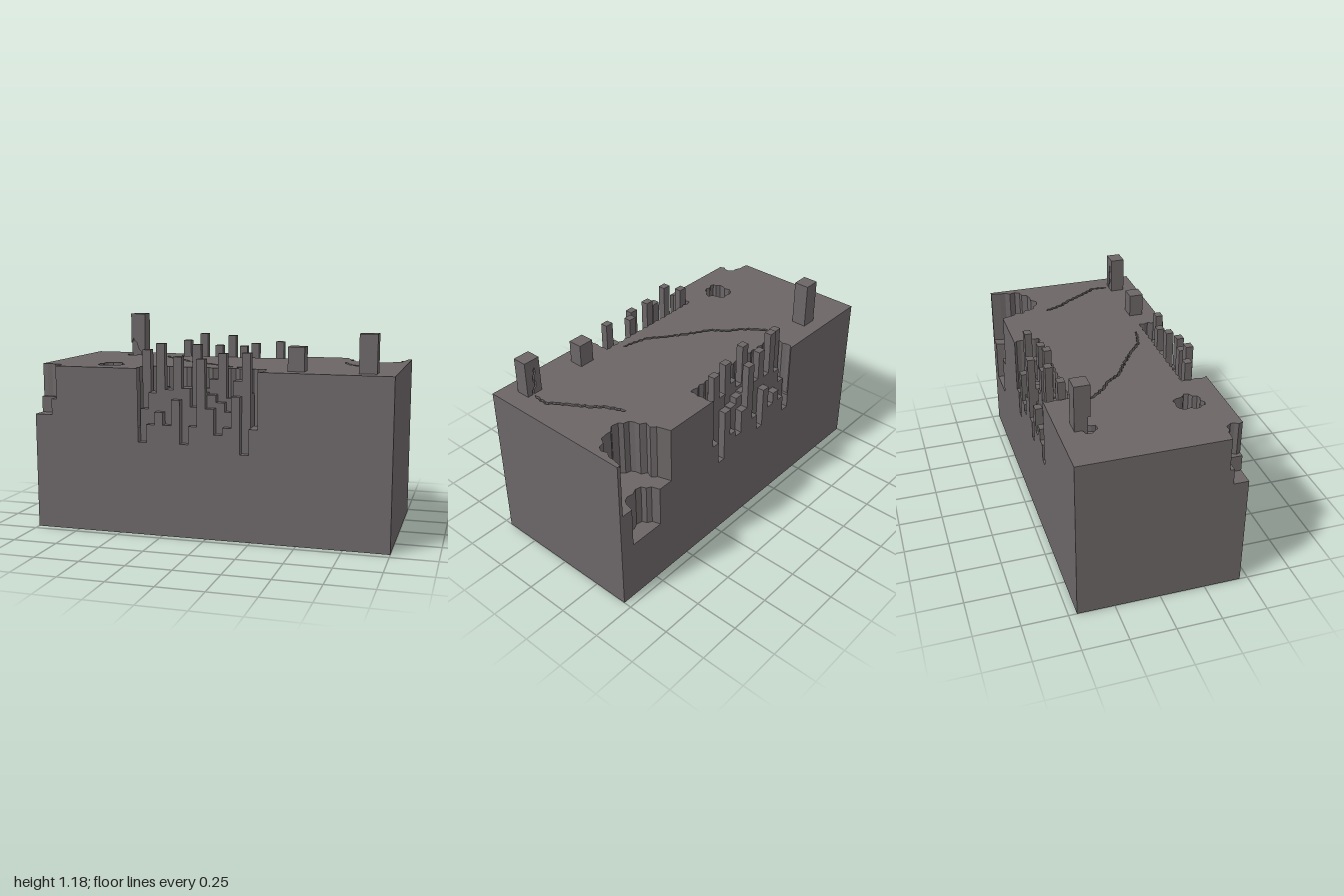
import * as THREE from 'three';

const W = 1, D = 0.455, TOP = 0.925;
const material = new THREE.MeshStandardMaterial({ color: 0x6b6566, flatShading: true });

// small seeded noise in -1..1
let seed = 7;
const noise = () => {
  seed = (seed * 16807) % 2147483647;
  return (seed / 2147483647) * 2 - 1;
};

// subdivide a path [x, z] and push the new points alternately in and out
function jag(points, step, amp) {
  const out = [points[0]];
  let flip = 1;
  for (let i = 1; i < points.length; i++) {
    const [ax, az] = points[i - 1], [bx, bz] = points[i];
    const len = Math.hypot(bx - ax, bz - az);
    const n = Math.max(1, Math.round(len / step));
    for (let k = 1; k <= n; k++) {
      const t = k / n;
      const push = k < n ? (flip *= -1) * amp * (0.65 + 0.35 * noise()) : 0;
      out.push([ax + (bx - ax) * t - ((bz - az) / len) * push, az + (bz - az) * t + ((bx - ax) / len) * push]);
    }
  }
  return out;
}

// closed outline of a thin zigzag crack, tapering at both ends
function crack(points, width) {
  const line = jag(points, 0.018, 0.006);
  const side = (s) => line.map(([x, z], i) => {
    const w = width * (i === 0 || i === line.length - 1 ? 0.15 : 1) * s;
    return [x + w, z - w * 0.7];
  });
  return [...side(1), ...side(-1).reverse()];
}

const mirrorZ = (path) => path.map(([x, z]) => [x, -z]).reverse();
const toVectors = (path, sign) => path.map(([x, z]) => new THREE.Vector2(x, sign * z));

function addMesh(parent, name, geometry) {
  const mesh = new THREE.Mesh(geometry, material);
  mesh.name = name;
  parent.add(mesh);
  return mesh;
}

// horizontal slab between two heights, outlined in x and z
function slab(parent, name, y0, y1, outline, holes = []) {
  const shape = new THREE.Shape(toVectors(outline, -1));
  shape.holes = holes.map((h) => new THREE.Path(toVectors(h, -1)));
  const geometry = new THREE.ExtrudeGeometry(shape, { depth: y1 - y0, bevelEnabled: false });
  geometry.rotateX(-Math.PI / 2).translate(0, y0, 0);
  addMesh(parent, name, geometry);
}

function box(parent, name, x0, x1, y0, y1, z0, z1) {
  const geometry = new THREE.BoxGeometry(x1 - x0, y1 - y0, z1 - z0);
  return addMesh(parent, name, geometry.translate((x0 + x1) / 2, (y0 + y1) / 2, (z0 + z1) / 2));
}

// upright plate outlined in x and y
function plate(parent, name, outline, z0, z1) {
  const geometry = new THREE.ExtrudeGeometry(new THREE.Shape(toVectors(outline, 1)), { depth: z1 - z0, bevelEnabled: false });
  addMesh(parent, name, geometry.translate(0, 0, z0));
}

// column field: heights of the outer, middle and inner rows
const X0 = -0.385, CELL = 0.0481, ROW = 0.0415, X1 = X0 + 14 * CELL, Z0 = D - 3 * ROW;
const rows = [
  [0.52, 0.62, 0.69, 0.62, 0.76, 0.52, 0.62, 0.985, 0.72, 0.58, 0.62, 0.79, 0.48, 0.62],
  [0.70, 0.79, 1.06, 0.81, 0.99, 0.82, 0.72, 0.80, 0.79, 0.75, 0.70, 0.87, 1.02, 0.62],
  [1.02, 0.79, 0.82, 0.81, 0.82, 0.82, 1.055, 0.82, 0.87, 1.01, 0.77, 0.87, 0.80, 0.62],
];

function columnField(parent, side) {
  const field = new THREE.Group();
  field.name = side > 0 ? 'frontColumns' : 'backColumns';
  rows.forEach((heights, r) => heights.forEach((h, c) => {
    if (h <= 0.48) return;
    const za = side * (D - r * ROW), zb = side * (D - (r + 1) * ROW);
    const x = X0 + c * CELL;
    box(field, 'column', x, x + CELL, 0.48, h, Math.min(za, zb), Math.max(za, zb));
  }));
  parent.add(field);
}

export function createModel() {
  seed = 7;
  const model = new THREE.Group();
  model.name = 'brokenBlock';

  // edge cuts, all running left to right along the front or right to left along the back
  const combPlain = [[X0, D], [X0, Z0], [X1, Z0], [X1, D]];
  const combJagged = [[X0, D], ...jag([[-0.4, 0.44], [-0.4, 0.31], [0.305, 0.31], [0.305, 0.44]], 0.025, 0.007), [X1, D]];
  const cornerBox = [[-W, 0.37], [-0.9, 0.37], [-0.9, D]];
  const cornerJagged = [[-W, 0.345], ...jag([[-0.97, 0.35], [-0.885, 0.362], [-0.865, 0.39], [-0.88, 0.43]], 0.025, 0.009), [-0.87, D]];
  const notchLow = [[0.915, -D], ...jag([[0.905, -0.41], [0.86, -0.37], [0.76, -0.37], [0.725, -0.41]], 0.03, 0.01), [0.71, -D]];
  const notchHigh = [[0.98, -D], ...jag([[0.97, -0.4], [0.945, -0.28], [0.86, -0.235], [0.75, -0.215], [0.69, -0.27], [0.645, -0.38]], 0.032, 0.016), [0.622, -D]];

  const outline = ({ corner = [[-W, D]], comb = [], notch = [] }) =>
    [...corner, ...comb, [W, D], [W, -D], ...notch, ...mirrorZ(comb), [-W, -D]];

  // surface pits and cracks
  const pit = jag([[-0.66, 0.2], [-0.58, 0.19], [-0.56, 0.24], [-0.53, 0.27], [-0.57, 0.33],
    [-0.66, 0.34], [-0.68, 0.28], [-0.66, 0.2]], 0.025, 0.01).slice(1);
  const crater = jag([[-0.705, -0.34], [-0.745, -0.325], [-0.745, -0.285], [-0.72, -0.258], [-0.685, -0.258],
    [-0.675, -0.3], [-0.705, -0.34]], 0.02, 0.005).slice(1);
  const longCrack = crack([[-0.51, -0.27], [-0.46, -0.26], [-0.41, -0.18], [-0.35, -0.11], [-0.29, -0.07],
    [-0.23, 0.01], [-0.1, 0.09], [0, 0.16], [0.07, 0.22], [0.22, 0.262]], 0.006);
  const shortCrack = crack([[0.65, -0.175], [0.69, -0.08], [0.74, -0.02], [0.8, 0.08], [0.875, 0.19], [0.865, 0.275]], 0.007);

  // body, stacked from the base to the damaged top
  const upper = { comb: combJagged, notch: notchHigh };
  slab(model, 'base', 0, 0.36, outline({}));
  slab(model, 'lowerBody', 0.36, 0.48, outline({ notch: notchLow }));
  slab(model, 'middleBody', 0.48, 0.6, outline({ comb: combPlain, notch: notchLow }));
  slab(model, 'upperBody', 0.6, 0.65, outline(upper));
  slab(model, 'cornerStep', 0.65, 0.74, outline({ ...upper, corner: cornerBox }));
  const broken = outline({ ...upper, corner: cornerJagged });
  slab(model, 'brokenCorner', 0.74, 0.825, broken);
  slab(model, 'pittedLayer', 0.825, 0.89, broken, [pit]);
  slab(model, 'crackedTop', 0.89, TOP, broken, [pit, crater, longCrack, shortCrack]);

  columnField(model, 1);
  columnField(model, -1);

  // tall back post with a chip out of its front face
  box(model, 'backPost', -0.715, -0.625, 0.89, 1.18, -0.375, -0.305);
  const chip = jag([[-0.65, 0.925], [-0.675, 0.985], [-0.7, 1.03], [-0.715, 1.0]], 0.02, 0.005);
  plate(model, 'backPostFace', [...chip, [-0.715, 1.18], [-0.625, 1.18], [-0.625, 0.925]], -0.305, -0.29);

  // short front post
  box(model, 'shortPost', 0.43, 0.52, TOP, 1.055, 0.29, 0.37);

  // corner post, its back face split by a crack
  box(model, 'cornerPost', 0.805, 0.9, TOP, 1.13, 0.302, 0.37);
  const split = jag([[0.868, TOP], [0.85, 0.99], [0.858, 1.03], [0.84, 1.085]], 0.02, 0.005);
  const other = split.slice(0, -1).map(([x, y]) => [x - 0.012, y]).reverse();
  plate(model, 'cornerPostFace', [[0.805, TOP], [0.805, 1.13], [0.9, 1.13], [0.9, TOP], ...split, ...other], 0.29, 0.302);

  return model;
}
